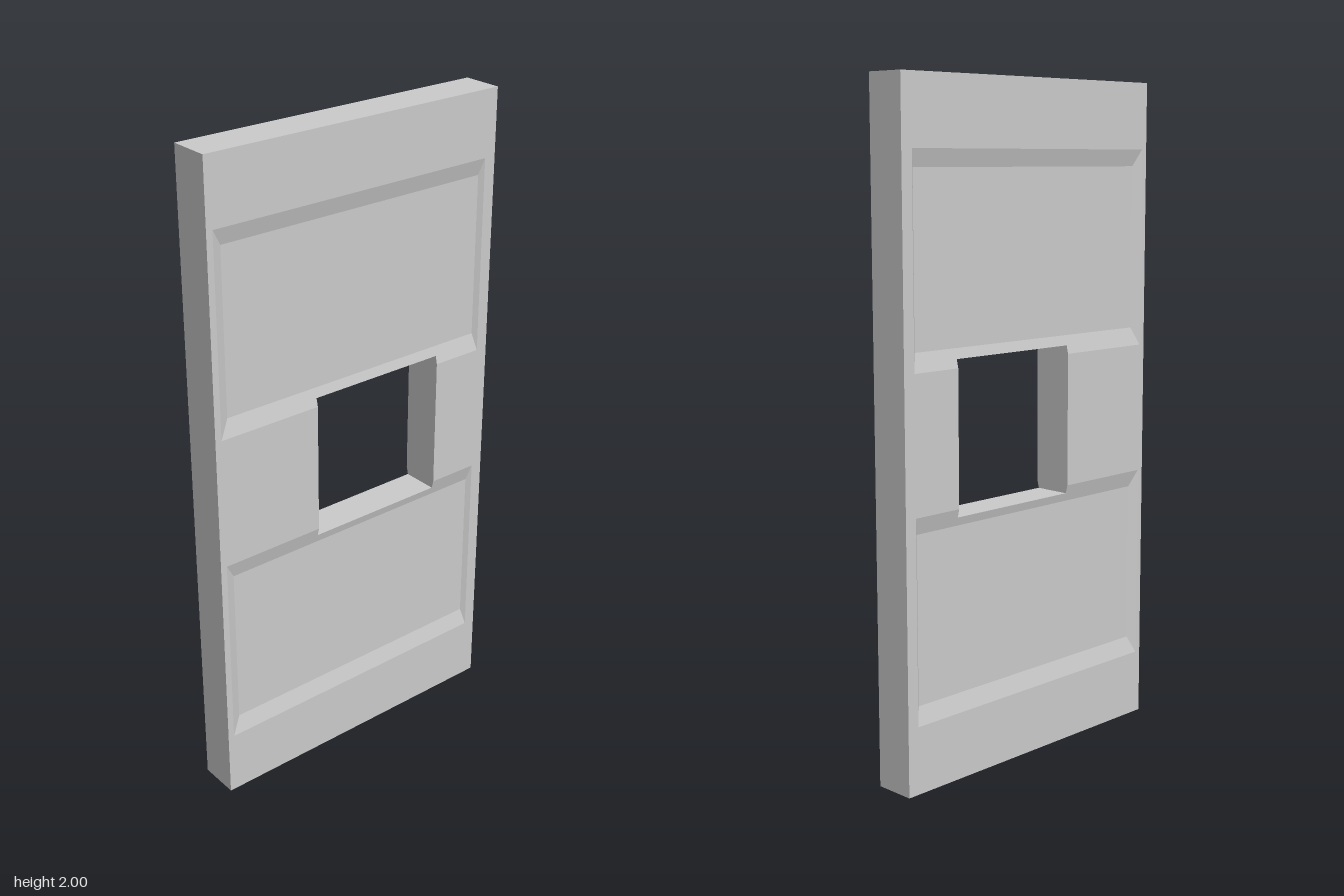
import * as THREE from 'three';
import { mergeGeometries } from 'three/addons/utils/BufferGeometryUtils.js';

const HALF = 0.0625;   // half the slab's thickness
const DEPTH = 0.0125;  // depth of the recessed panels

// Coordinates on the slab: u = -z, v = y
const win = { u0: -0.15, u1: 0.3, v0: 0.775, v1: 1.225 };
const panels = [0.2, 1.2].map((v) => ({
  outer: { u0: -0.48, u1: 0.463, v0: v, v1: v + 0.6 },
  inner: { u0: -0.45, u1: 0.45, v0: v + 0.055, v1: v + 0.55 },
}));

// Half thickness at a point, sinking along the bevels of each panel
function halfThickness(u, v) {
  let sink = 0;
  for (const { outer: o, inner: i } of panels) {
    const t = Math.min(
      (u - o.u0) / (i.u0 - o.u0), (o.u1 - u) / (o.u1 - i.u1),
      (v - o.v0) / (i.v0 - o.v0), (o.v1 - v) / (o.v1 - i.v1));
    sink = Math.max(sink, Math.min(1, t));
  }
  return HALF - DEPTH * sink;
}

const toShape = (points) => new THREE.Shape(points.map(([u, v]) => new THREE.Vector2(u, v)));

// Raises a flat outline onto the surface of one side (+1 left, -1 right)
function surface(shape, side) {
  const geo = new THREE.ShapeGeometry(shape);
  const pos = geo.attributes.position;
  for (let k = 0; k < pos.count; k++) {
    const u = pos.getX(k), v = pos.getY(k);
    pos.setXYZ(k, side * halfThickness(u, v), v, -u);
  }
  if (side < 0) geo.index.array.reverse();
  const flat = geo.toNonIndexed();
  flat.computeVertexNormals();
  return flat;
}

// Wall through the thickness along a closed loop of points
function wall(points) {
  const verts = [];
  points.forEach(([u, v], k) => {
    const [p, q] = points[(k + 1) % points.length];
    const a = halfThickness(u, v), b = halfThickness(p, q);
    verts.push(a, v, -u, -a, v, -u, -b, q, -p, a, v, -u, -b, q, -p, b, q, -p);
  });
  const geo = new THREE.BufferGeometry();
  geo.setAttribute('position', new THREE.Float32BufferAttribute(verts, 3));
  geo.computeVertexNormals();
  return geo;
}

export function createModel() {
  const group = new THREE.Group();
  const material = new THREE.MeshStandardMaterial({ color: 0xcccccc, flatShading: true });
  const add = (name, geo) => {
    const mesh = new THREE.Mesh(geo, material);
    mesh.name = name;
    group.add(mesh);
  };

  const outline = [[-0.5, 0], [0.5, 0], [0.5, 2], [-0.5, 2]];
  const [lo, hi] = panels.map((p) => p.outer);

  // Flat frame: its opening joins both panels and the window
  const frame = toShape(outline);
  frame.holes.push(toShape([
    [lo.u0, lo.v0], [lo.u1, lo.v0], [lo.u1, lo.v1], [win.u1, lo.v1],
    [win.u1, hi.v0], [hi.u1, hi.v0], [hi.u1, hi.v1], [hi.u0, hi.v1],
    [hi.u0, hi.v0], [win.u0, hi.v0], [win.u0, lo.v1], [lo.u0, lo.v1],
  ]));

  for (const side of [1, -1]) {
    const label = side > 0 ? 'left' : 'right';
    add(label + 'Frame', surface(frame, side));

    // Recessed panels with four bevels; the window notches the bevel next to it
    panels.forEach(({ outer: o, inner: i }, n) => {
      const topNotch = n === 0
        ? [[win.u1, o.v1], [win.u1, win.v0], [win.u0, win.v0], [win.u0, o.v1]] : [];
      const bottomNotch = n === 1
        ? [[win.u0, o.v0], [win.u0, win.v1], [win.u1, win.v1], [win.u1, o.v0]] : [];
      const pieces = [
        [[i.u0, i.v0], [i.u1, i.v0], [i.u1, i.v1], [i.u0, i.v1]],
        [[o.u0, o.v0], ...bottomNotch, [o.u1, o.v0], [i.u1, i.v0], [i.u0, i.v0]],
        [[o.u1, o.v0], [o.u1, o.v1], [i.u1, i.v1], [i.u1, i.v0]],
        [[o.u1, o.v1], ...topNotch, [o.u0, o.v1], [i.u0, i.v1], [i.u1, i.v1]],
        [[o.u0, o.v1], [o.u0, o.v0], [i.u0, i.v0], [i.u0, i.v1]],
      ];
      add(label + (n ? 'UpperPanel' : 'LowerPanel'),
        mergeGeometries(pieces.map((p) => surface(toShape(p), side))));
    });
  }

  // Outer edges of the slab and the inside of the window
  add('outerEdge', wall(outline));
  add('windowReveal', wall([
    [win.u0, win.v0], [win.u0, lo.v1], [win.u0, hi.v0], [win.u0, win.v1],
    [win.u1, win.v1], [win.u1, hi.v0], [win.u1, lo.v1], [win.u1, win.v0],
  ]));
  return group;
}
